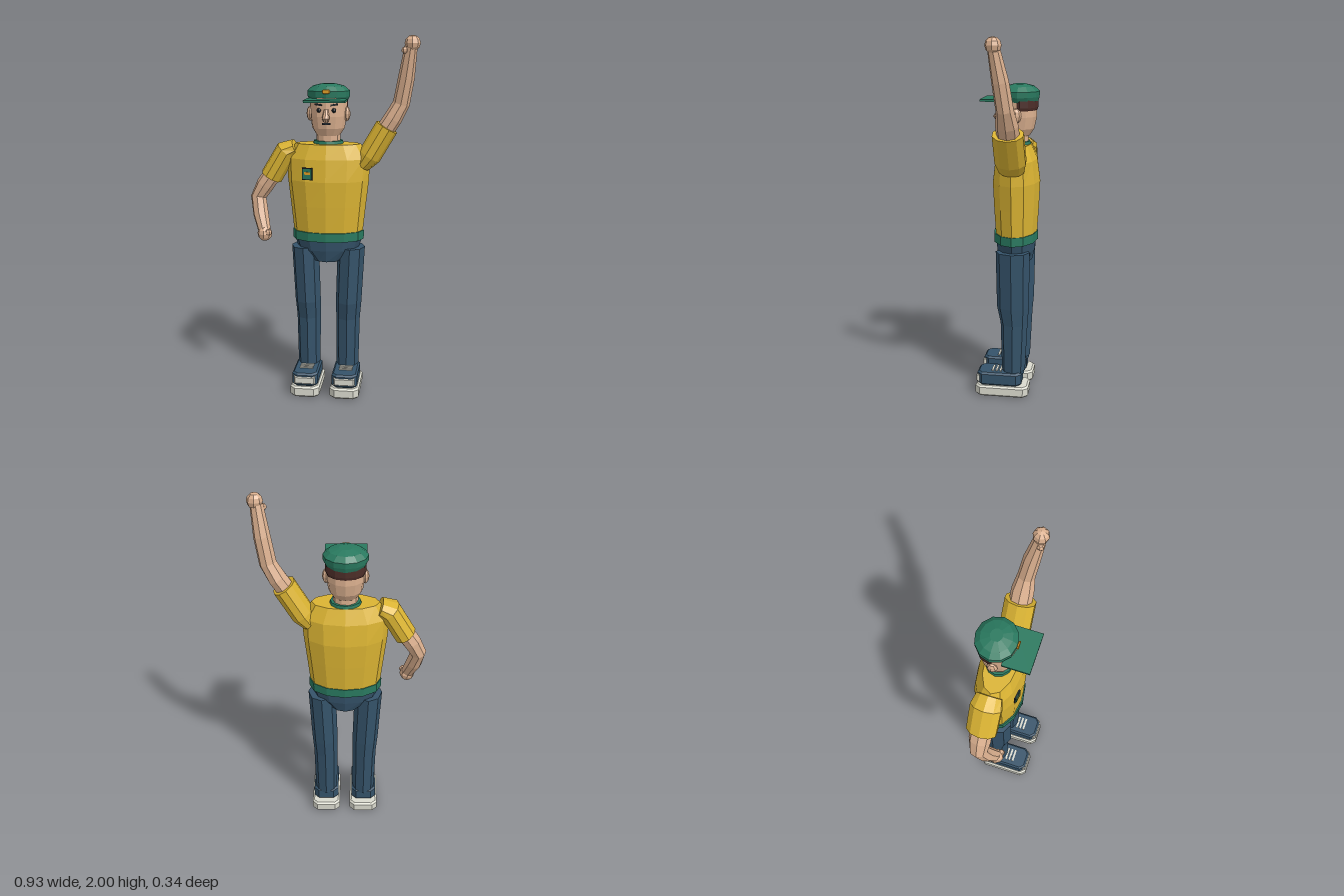
import * as THREE from 'three';

const flat = (name, color) => {
  const m = new THREE.MeshStandardMaterial({ color, flatShading: true });
  m.name = name;
  return m;
};

// Closed low-poly skin over elliptical rings [x, y, z, radiusAcross, radiusDepth].
// Rings lie level, or square to the path when level is false.
function loft(rings, sides, level = true) {
  const centres = rings.map(r => new THREE.Vector3(r[0], r[1], r[2]));
  const loops = rings.map((r, i) => {
    const t = new THREE.Vector3(0, 1, 0);
    if (!level) {
      t.copy(centres[Math.min(i + 1, rings.length - 1)]).sub(centres[Math.max(i - 1, 0)]).normalize();
    }
    const u = new THREE.Vector3().crossVectors(t, new THREE.Vector3(0, 0, 1)).normalize();
    const v = new THREE.Vector3().crossVectors(u, t);
    return Array.from({ length: sides }, (_, k) => {
      const a = k / sides * Math.PI * 2;
      return centres[i].clone().addScaledVector(u, r[3] * Math.cos(a)).addScaledVector(v, r[4] * Math.sin(a));
    });
  });
  const pts = [], last = rings.length - 1;
  for (let k = 0; k < sides; k++) {
    const n = (k + 1) % sides;
    for (let i = 0; i < last; i++) {
      const a = loops[i][k], b = loops[i][n], c = loops[i + 1][k], d = loops[i + 1][n];
      pts.push(a, c, b, b, c, d);
    }
    pts.push(centres[0], loops[0][k], loops[0][n]);
    pts.push(centres[last], loops[last][n], loops[last][k]);
  }
  const g = new THREE.BufferGeometry().setFromPoints(pts);
  g.computeVertexNormals();
  return g;
}

// Block with cut corners and bevelled edges, standing on y = 0
function cutBlock(w, h, d, cut, bevel) {
  const x = w / 2 - bevel, y = d / 2 - bevel;
  const s = new THREE.Shape([
    [x - cut, -y], [x, cut - y], [x, y - cut], [x - cut, y],
    [cut - x, y], [-x, y - cut], [-x, cut - y], [cut - x, -y],
  ].map(p => new THREE.Vector2(...p)));
  const g = new THREE.ExtrudeGeometry(s, {
    depth: h - 2 * bevel, bevelEnabled: true, bevelThickness: bevel, bevelSize: bevel, bevelSegments: 1,
  });
  return g.translate(0, 0, bevel).rotateX(-Math.PI / 2);
}

export function createModel() {
  const shirt = flat('yellow shirt', 0xdbb433);
  const green = flat('green trim', 0x29795f);
  const navy = flat('navy cloth', 0x35536a);
  const skin = flat('skin', 0xdbb08f);
  const white = flat('off white rubber', 0xdadace);
  const brown = flat('brown hair', 0x4c2d28);
  const dark = flat('dark features', 0x1d2329);
  const gold = flat('gold badge', 0xdf9f26);

  const model = new THREE.Group();
  model.name = 'wavingMan';
  const add = (name, geometry, material, x = 0, y = 0, z = 0, parent = model) => {
    const m = new THREE.Mesh(geometry, material);
    m.name = name;
    m.position.set(x, y, z);
    parent.add(m);
    return m;
  };
  const box = (w, h, d) => new THREE.BoxGeometry(w, h, d);
  const cx = -0.023; // body centre line

  // Torso and hips
  add('shirtBody', loft([
    [cx, 0.92, -0.04, 0.193, 0.115], [cx, 1.08, -0.04, 0.21, 0.125], [cx, 1.22, -0.04, 0.226, 0.131],
    [cx, 1.34, -0.04, 0.23, 0.115], [cx, 1.42, -0.035, 0.18, 0.085],
  ], 12), shirt);
  add('shirtHem', loft([[cx, 0.885, -0.038, 0.2, 0.122], [cx, 0.935, -0.038, 0.2, 0.122]], 12), green);
  add('hips', loft([
    [cx, 0.765, -0.038, 0.088, 0.09], [cx, 0.83, -0.038, 0.17, 0.105], [cx, 0.9, -0.038, 0.193, 0.112],
  ], 12), navy);
  add('collar', loft([[cx, 1.41, -0.045, 0.086, 0.076], [cx, 1.436, -0.045, 0.08, 0.07]], 12), green);

  // Chest patch
  add('patchBorder', box(0.058, 0.066, 0.008), dark, -0.122, 1.266, 0.08).rotation.y = -0.15;
  add('patch', box(0.048, 0.056, 0.009), green, -0.1225, 1.266, 0.083).rotation.y = -0.15;
  add('patchStripe', box(0.034, 0.014, 0.008), gold, -0.1225, 1.27, 0.086).rotation.y = -0.15;

  // Head
  add('neck', loft([[cx, 1.4, -0.045, 0.066, 0.06], [cx, 1.5, -0.045, 0.066, 0.06]], 10), skin);
  add('head', loft([
    [cx, 1.465, -0.045, 0.065, 0.065], [cx, 1.505, -0.048, 0.09, 0.088],
    [cx, 1.57, -0.05, 0.1, 0.1], [cx, 1.67, -0.05, 0.1, 0.098],
  ], 12), skin);
  add('hair', loft([[cx, 1.605, -0.068, 0.1, 0.084], [cx, 1.62, -0.068, 0.105, 0.088], [cx, 1.67, -0.068, 0.105, 0.088]], 12), brown);
  add('nose', loft([
    [cx, 1.545, 0.06, 0.012, 0.014], [cx, 1.565, 0.065, 0.021, 0.026], [cx, 1.612, 0.046, 0.011, 0.014],
  ], 8), skin);
  add('mouth', box(0.045, 0.009, 0.01), dark, cx, 1.534, 0.044);
  for (const s of [1, -1]) {
    const side = s > 0 ? 'left' : 'right';
    const ear = add(side + 'Ear', new THREE.SphereGeometry(1, 8, 6), skin, cx + s * 0.1, 1.58, -0.05);
    ear.scale.set(0.021, 0.041, 0.028);
    add(side + 'Eye', new THREE.SphereGeometry(0.013, 8, 6), dark, cx + s * 0.04, 1.605, 0.037);
    add(side + 'Brow', box(0.04, 0.009, 0.009), dark, cx + s * 0.043, 1.635, 0.04).rotation.set(0, s * 0.26, s * 0.12);
  }

  // Cap
  add('capCrown', loft([
    [cx, 1.65, -0.058, 0.104, 0.098], [cx, 1.675, -0.058, 0.116, 0.105], [cx, 1.705, -0.058, 0.117, 0.107],
    [cx, 1.73, -0.058, 0.087, 0.08], [cx, 1.743, -0.058, 0.035, 0.032],
  ], 12), green);
  add('capBrim', box(0.22, 0.012, 0.145), green, cx, 1.66, 0.0715);
  add('capBadge', cutBlock(0.04, 0.01, 0.022, 0.004, 0.002).rotateX(Math.PI / 2), gold, cx, 1.705, 0.047);

  // Arms: left one raised, right one hanging
  const arms = [
    {
      name: 'left', hand: [0.428, 1.958, 0.012], thumb: [0.39, 1.922, 0.022],
      sleeve: [[0.165, 1.3, -0.04, 0.045, 0.07], [0.205, 1.355, -0.04, 0.064, 0.086], [0.297, 1.513, -0.04, 0.064, 0.084]],
      arm: [[0.265, 1.46, -0.04, 0.05, 0.06], [0.33, 1.56, -0.04, 0.05, 0.06], [0.373, 1.64, -0.036, 0.046, 0.046],
        [0.398, 1.78, -0.018, 0.044, 0.044], [0.42, 1.94, 0.01, 0.034, 0.032]],
    },
    {
      name: 'right', hand: [-0.37, 0.918, 0.042], thumb: [-0.345, 0.93, 0.066],
      sleeve: [[-0.205, 1.395, -0.04, 0.045, 0.07], [-0.255, 1.375, -0.04, 0.062, 0.086], [-0.342, 1.228, -0.04, 0.062, 0.084]],
      arm: [[-0.31, 1.28, -0.04, 0.05, 0.06], [-0.38, 1.18, -0.04, 0.05, 0.06], [-0.418, 1.11, -0.036, 0.044, 0.05],
        [-0.4, 1.02, -0.005, 0.044, 0.045], [-0.373, 0.935, 0.035, 0.036, 0.034]],
    },
  ];
  for (const a of arms) {
    add(a.name + 'Sleeve', loft(a.sleeve, 10, false), shirt);
    add(a.name + 'Arm', loft(a.arm, 8, false), skin);
    add(a.name + 'Hand', new THREE.SphereGeometry(0.042, 8, 6), skin, ...a.hand);
    add(a.name + 'Thumb', new THREE.SphereGeometry(0.019, 6, 5), skin, ...a.thumb);
  }

  // Legs and shoes
  for (const s of [1, -1]) {
    const side = s > 0 ? 'left' : 'right';
    const lx = cx + s * 0.13;
    add(side + 'Leg', loft([
      [cx + s * 0.111, 0.14, -0.04, 0.064, 0.066], [cx + s * 0.113, 0.42, -0.043, 0.068, 0.076],
      [cx + s * 0.117, 0.52, -0.037, 0.073, 0.09], [lx, 0.84, -0.037, 0.077, 0.094],
    ], 8), navy);
    const shoe = new THREE.Group();
    shoe.name = side + 'Shoe';
    shoe.position.set(cx + s * 0.112, 0, 0);
    model.add(shoe);
    add('sole', cutBlock(0.164, 0.062, 0.3, 0.022, 0.01), white, 0, 0, 0.02, shoe);
    add('upper', cutBlock(0.144, 0.076, 0.25, 0.022, 0.01), navy, 0, 0.062, 0.035, shoe);
    add('ankle', loft([[0, 0.12, -0.04, 0.06, 0.06], [0, 0.16, -0.04, 0.06, 0.06]], 8), navy, 0, 0, 0, shoe);
    add('toeCap', cutBlock(0.136, 0.044, 0.03, 0.012, 0.006), white, 0, 0.077, 0.15, shoe);
    for (const z of [0.03, 0.052, 0.074]) add('lace', box(0.075, 0.008, 0.011), white, 0, 0.14, z, shoe);
  }
  return model;
}
